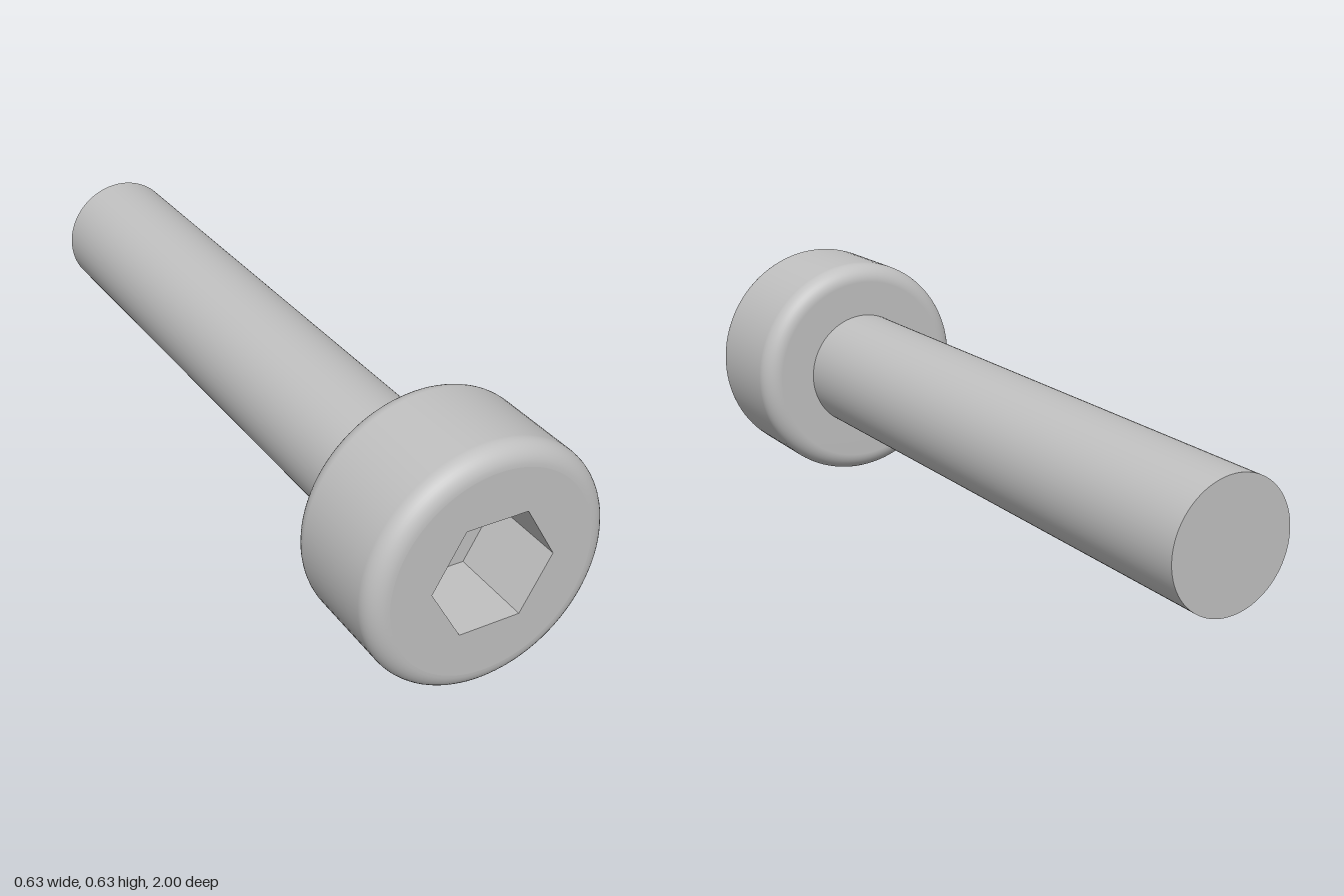
import * as THREE from 'three';

const HEAD_R = 0.315, SHAFT_R = 0.166, FILLET = 0.05;
const HEAD_BACK = 0.667, FRONT = 1, BACK = -1;
const HEX_R = 0.16, HEX_DEPTH = 0.22, SEGMENTS = 96;

export function createModel() {
  const steel = new THREE.MeshStandardMaterial({ color: 0xc0c0c0 });
  steel.name = 'steel';

  const model = new THREE.Group();
  model.name = 'socketHeadBolt';
  const axis = new THREE.Group(); // the bolt lies along z, resting on its head
  axis.name = 'bolt';
  axis.position.y = HEAD_R;
  model.add(axis);

  const add = (name, geometry, z = 0) => {
    const mesh = new THREE.Mesh(geometry, steel);
    mesh.name = name;
    mesh.position.z = z;
    axis.add(mesh);
  };

  // Head side: underside ring, two rounded rims and the straight wall
  const profile = [new THREE.Vector2(SHAFT_R, HEAD_BACK)];
  const r = HEAD_R - FILLET;
  for (const [centre, start] of [[HEAD_BACK + FILLET, -Math.PI / 2], [FRONT - FILLET, 0]]) {
    for (let i = 0; i <= 10; i++) {
      const a = start + (i / 10) * Math.PI / 2;
      profile.push(new THREE.Vector2(r + FILLET * Math.cos(a), centre + FILLET * Math.sin(a)));
    }
  }
  add('head', new THREE.LatheGeometry(profile, SEGMENTS).rotateX(Math.PI / 2));

  // Head face with the hexagonal opening
  const face = new THREE.Shape().absarc(0, 0, r, 0, Math.PI * 2, false);
  const hex = [];
  for (let i = 0; i < 6; i++) {
    const a = -i * Math.PI / 3;
    hex.push(new THREE.Vector2(HEX_R * Math.cos(a), HEX_R * Math.sin(a)));
  }
  face.holes.push(new THREE.Path(hex));
  add('headFace', new THREE.ShapeGeometry(face, SEGMENTS), FRONT);

  // Socket walls, turned to face inwards, and the flat socket floor
  const walls = new THREE.CylinderGeometry(HEX_R, HEX_R, HEX_DEPTH, 6, 1, true)
    .rotateY(Math.PI / 2).rotateX(Math.PI / 2).scale(-1, 1, 1).toNonIndexed();
  walls.computeVertexNormals();
  add('socketWalls', walls, FRONT - HEX_DEPTH / 2);
  add('socketFloor', new THREE.CircleGeometry(HEX_R, 6), FRONT - HEX_DEPTH);

  // Plain shaft and its flat end
  const length = HEAD_BACK - BACK;
  add('shaft', new THREE.CylinderGeometry(SHAFT_R, SHAFT_R, length, SEGMENTS, 1, true)
    .rotateX(Math.PI / 2), BACK + length / 2);
  add('shaftEnd', new THREE.CircleGeometry(SHAFT_R, SEGMENTS).rotateY(Math.PI), BACK);

  return model;
}
